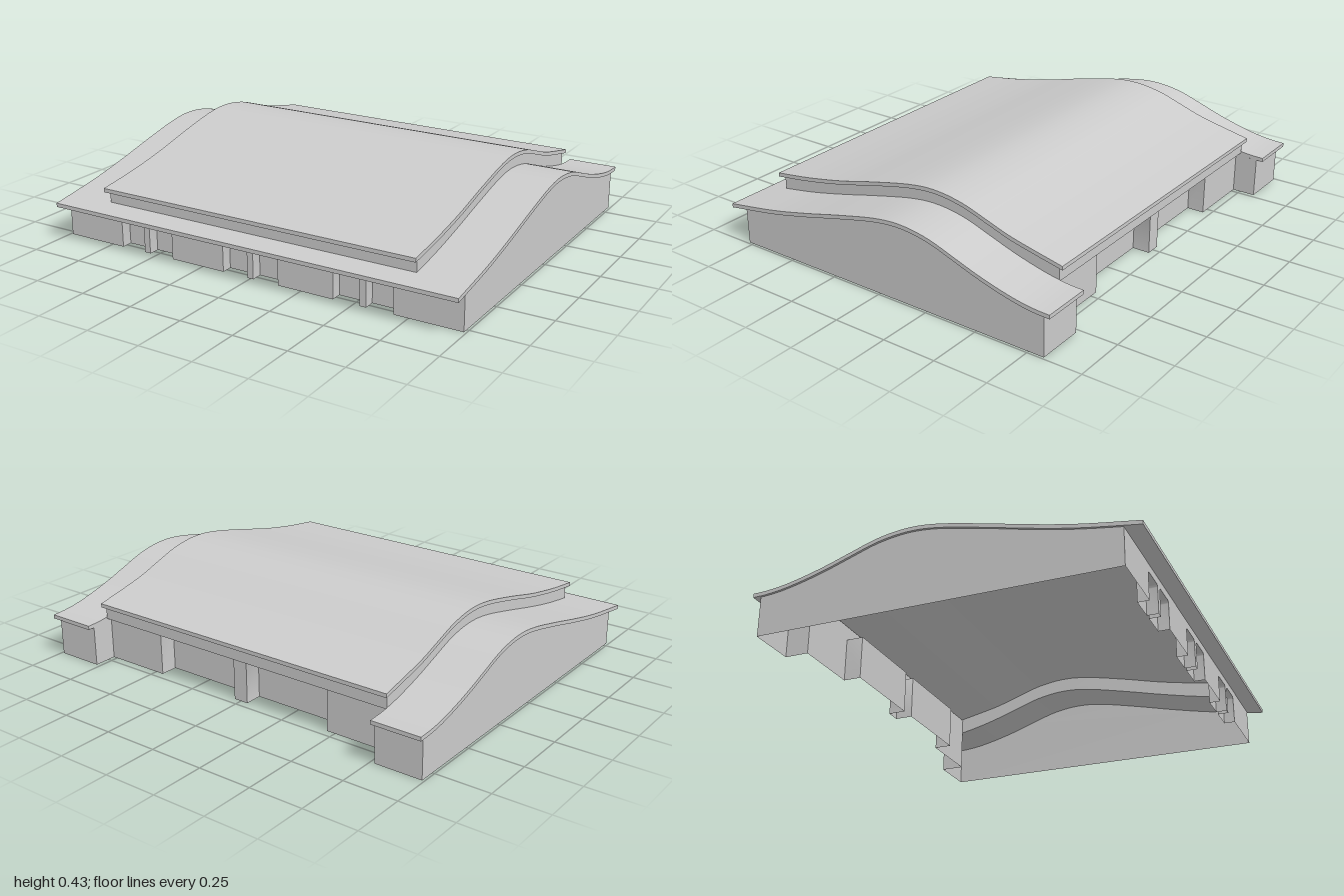
import * as THREE from 'three';
import { toCreasedNormals } from 'three/addons/utils/BufferGeometryUtils.js';

const material = new THREE.MeshStandardMaterial({ color: 0xcccccc, side: THREE.DoubleSide });
const THICK = 0.018; // roof sheet thickness

// Roof top profiles as [z, y] points, back to front
const profile = points => new THREE.SplineCurve(points.map(p => new THREE.Vector2(...p))).getPoints(90);
const lowerLine = profile([
  [-0.853, 0.2], [-0.78, 0.203], [-0.7, 0.214], [-0.6, 0.237], [-0.5, 0.266], [-0.4, 0.3], [-0.27, 0.342],
  [-0.135, 0.36], [0, 0.349], [0.2, 0.305], [0.4, 0.256], [0.6, 0.213], [0.853, 0.173],
]);
const upperLine = profile([
  [-0.76, 0.277], [-0.6, 0.311], [-0.5, 0.335], [-0.4, 0.368], [-0.27, 0.409],
  [-0.135, 0.427], [0, 0.416], [0.2, 0.373], [0.4, 0.324], [0.6, 0.286], [0.78, 0.261],
]);

// Height of a profile at a given z
function heightAt(line, z) {
  for (let i = 1; i < line.length; i++) {
    const a = line[i - 1], b = line[i];
    if (z <= b.x) return a.y + (b.y - a.y) * (z - a.x) / (b.x - a.x);
  }
  return line[line.length - 1].y;
}

// Points of a profile between two z values, shifted in height
function section(line, z0, z1, dy, steps = 60) {
  return Array.from({ length: steps + 1 }, (_, i) => {
    const z = z0 + (z1 - z0) * i / steps;
    return new THREE.Vector2(z, heightAt(line, z) + dy);
  });
}

function addMesh(group, name, geometry) {
  const mesh = new THREE.Mesh(geometry, material);
  mesh.name = name;
  group.add(mesh);
}

// Shape in the (z, y) plane between a bottom and a top line
const sideShape = (bottom, top) => new THREE.Shape([...bottom, ...top.slice().reverse()]);

// Curved roof sheet running from x0 to x1
function roofSheet(line, z0, z1, x0, x1) {
  const shape = sideShape(section(line, z0, z1, -THICK), section(line, z0, z1, 0));
  const geo = new THREE.ExtrudeGeometry(shape, { depth: x1 - x0, bevelEnabled: false });
  geo.rotateY(-Math.PI / 2).translate(x1, 0, 0);
  return toCreasedNormals(geo, 0.5);
}

// Thin upright panel in the (z, y) plane at x
function sidePanel(bottom, top, x) {
  return new THREE.ShapeGeometry(sideShape(bottom, top)).rotateY(-Math.PI / 2).translate(x, 0, 0);
}

// Thin upright panel in the (x, y) plane at z
function panel(x0, x1, y0, y1, z) {
  return new THREE.PlaneGeometry(x1 - x0, y1 - y0).translate((x0 + x1) / 2, (y0 + y1) / 2, z);
}

// Doorway outline from the ground up, with rounded upper corners
function doorOutline(a, b, top, r) {
  const points = [new THREE.Vector2(a, 0)];
  for (const [cx, start] of [[a + r, Math.PI], [b - r, Math.PI / 2]]) {
    for (let i = 0; i <= 4; i++) {
      const t = start - i * Math.PI / 8;
      points.push(new THREE.Vector2(cx + r * Math.cos(t), top - r + r * Math.sin(t)));
    }
  }
  points.push(new THREE.Vector2(b, 0));
  return points;
}

// Strip that follows an outline from zFront to zBack
function reveal(points, zFront, zBack) {
  const n = points.length;
  const geo = new THREE.PlaneGeometry(1, 1, n - 1, 1);
  for (let i = 0; i < 2 * n; i++) {
    const p = points[i % n];
    geo.attributes.position.setXYZ(i, p.x, p.y, i < n ? zFront : zBack);
  }
  return toCreasedNormals(geo, 0.6);
}

// Thin wall with recessed doorways
function addDoorWall(group, name, halfWidth, height, doors, doorTop, radius, z, zInner) {
  const outlines = doors.map(([a, b]) => doorOutline(a, b, doorTop, radius));
  const V = (x, y) => new THREE.Vector2(x, y);
  const face = new THREE.Shape([
    V(-halfWidth, 0), ...outlines.flat(), V(halfWidth, 0), V(halfWidth, height), V(-halfWidth, height),
  ]);
  addMesh(group, name, new THREE.ShapeGeometry(face).translate(0, 0, z));
  outlines.forEach((outline, i) => {
    addMesh(group, `${name}Reveal${i + 1}`, reveal(outline, z, zInner));
    addMesh(group, `${name}Door${i + 1}`,
      new THREE.ShapeGeometry(new THREE.Shape(outline)).translate(0, 0, zInner));
  });
}

export function createModel() {
  const model = new THREE.Group();
  model.name = 'hall';

  // Raised roof over the middle and the front eave of the lower roof
  addMesh(model, 'upperRoof', roofSheet(upperLine, -0.76, 0.78, -0.78, 0.78));
  addMesh(model, 'lowerRoofFront', roofSheet(lowerLine, 0.75, 0.853, -0.77, 0.77));

  // Front wall with three pairs of recessed doors
  const doors = [-0.55, 0, 0.545].flatMap(c => [[c - 0.14, c - 0.016], [c + 0.014, c + 0.138]]);
  addDoorWall(model, 'frontWall', 0.99, 0.168, doors, 0.13, 0.012, 0.775, 0.725);

  // Back wall with two wide recesses either side of a post
  addDoorWall(model, 'backWall', 0.77, 0.21, [[-0.46, -0.035], [0.035, 0.46]], 0.2, 0.001, -0.715, -0.635);

  // Bands between the two roof levels, front and back
  addMesh(model, 'frontUpperBand', panel(-0.77, 0.77, 0.175, 0.255, 0.75));
  addMesh(model, 'backUpperBand', new THREE.BoxGeometry(1.54, 0.064, 0.025).translate(0, 0.232, -0.7275));

  for (const side of [1, -1]) {
    const name = side > 0 ? 'left' : 'right';
    const span = (a, b) => (side > 0 ? [a, b] : [-b, -a]);

    addMesh(model, name + 'LowerRoof', roofSheet(lowerLine, -0.853, 0.853, ...span(0.77, 1)));

    // Gable wall following the lower roof
    addMesh(model, name + 'GableWall', sidePanel(
      [new THREE.Vector2(-0.822, 0), new THREE.Vector2(0.775, 0)],
      section(lowerLine, -0.822, 0.775, -THICK), side * 0.99));

    // Band between the two roof levels along the side
    addMesh(model, name + 'UpperBand', sidePanel(
      section(lowerLine, -0.74, 0.75, -THICK),
      section(upperLine, -0.74, 0.75, -THICK), side * 0.77));

    // Back corner wall and its return to the recessed wall
    addMesh(model, name + 'BackCorner', panel(...span(0.77, 0.99), 0, 0.184, -0.822));
    addMesh(model, name + 'BackReturn', sidePanel(
      [new THREE.Vector2(-0.822, 0), new THREE.Vector2(-0.715, 0)],
      section(lowerLine, -0.822, -0.715, -THICK, 6), side * 0.77));
  }
  return model;
}
